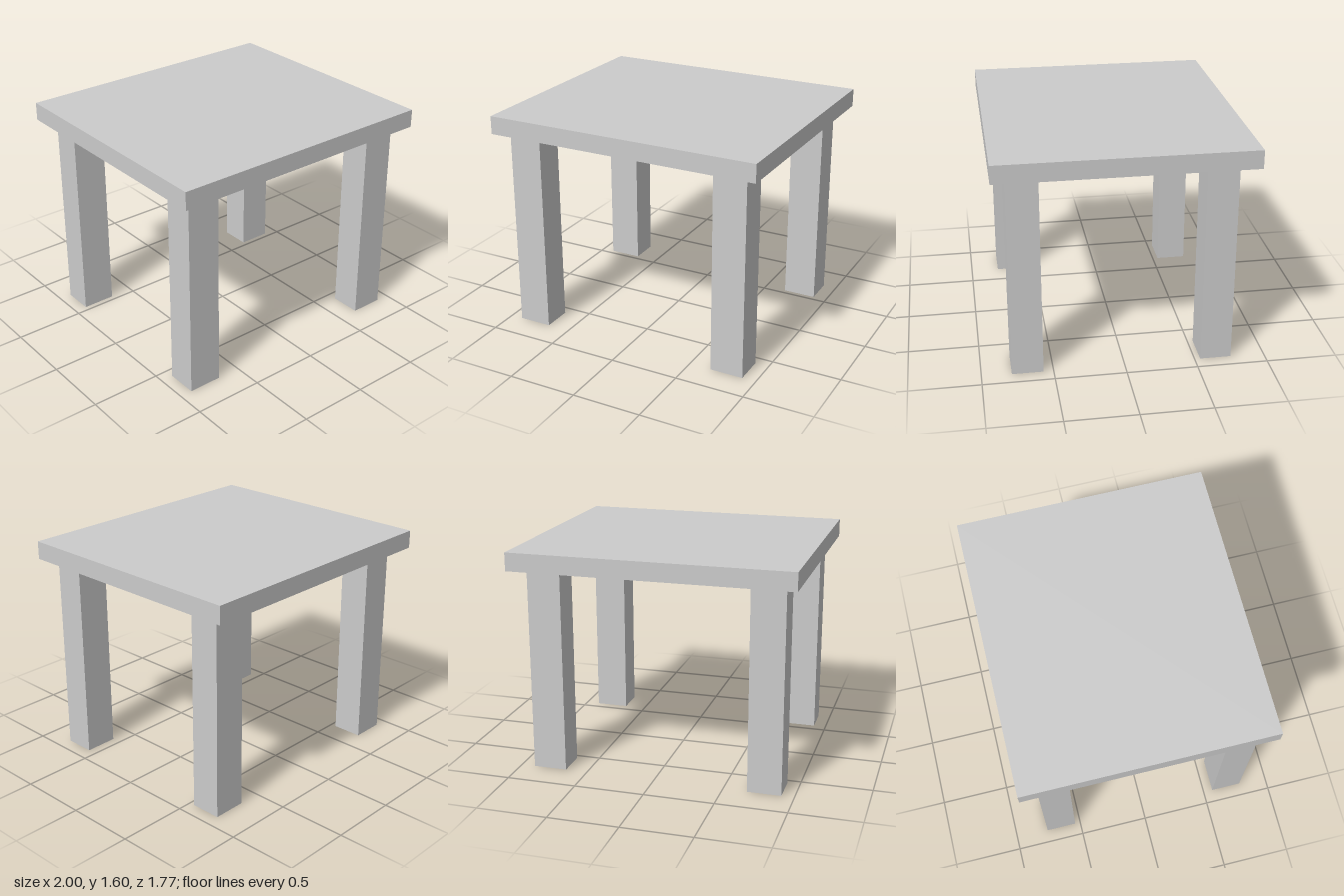
import * as THREE from 'three';

export function createModel() {
  const table = new THREE.Group();
  table.name = 'table';
  const material = new THREE.MeshStandardMaterial({ color: 0xcccccc, flatShading: true });

  // Box standing on the given height
  const addBox = (name, width, height, depth, x, bottom, z) => {
    const mesh = new THREE.Mesh(new THREE.BoxGeometry(width, height, depth), material);
    mesh.name = name;
    mesh.position.set(x, bottom + height / 2, z);
    table.add(mesh);
  };

  const legHeight = 1.47;

  // Table top
  addBox('tableTop', 2, 0.13, 1.77, 0, legHeight, 0);

  // Four legs, the rear pair set slightly further in
  for (const [end, z] of [['front', 0.68], ['back', -0.65]]) {
    for (const [side, x] of [['Left', 0.78], ['Right', -0.79]]) {
      addBox(`${end}${side}Leg`, 0.24, legHeight, 0.22, x, 0, z);
    }
  }

  return table;
}
